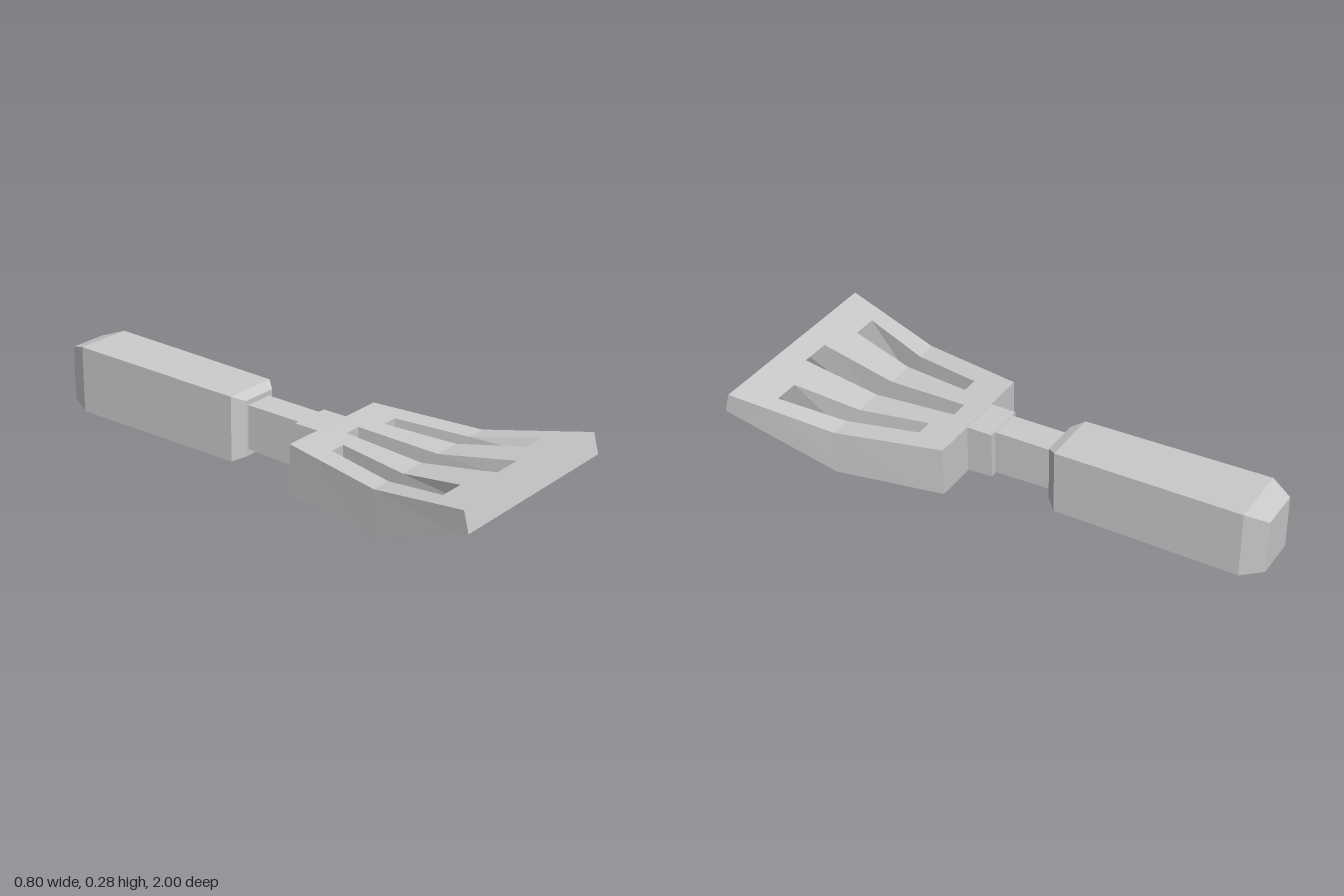
import * as THREE from 'three';

const material = new THREE.MeshStandardMaterial({ color: 0xcccccc, flatShading: true });
const lerp = THREE.MathUtils.lerp;

// Flat-shaded mesh from a list of four-cornered faces
function quadMesh(name, quads) {
  const points = quads.flatMap(([a, b, c, d]) => [a, b, c, a, c, d]).flat();
  const geometry = new THREE.BufferGeometry();
  geometry.setAttribute('position', new THREE.Float32BufferAttribute(points, 3));
  geometry.computeVertexNormals();
  const mesh = new THREE.Mesh(geometry, material);
  mesh.name = name;
  return mesh;
}

// Rectangular sections [z, x0, x1, y0, y1], joined from front to back
function loft(name, sections) {
  const rings = sections.map(([z, x0, x1, y0, y1]) =>
    [[x0, y0, z], [x1, y0, z], [x1, y1, z], [x0, y1, z]]);
  const quads = [rings[0], [...rings.at(-1)].reverse()];
  for (let i = 0; i < rings.length - 1; i++) {
    const a = rings[i], b = rings[i + 1];
    for (let k = 0; k < 4; k++) {
      const n = (k + 1) % 4;
      quads.push([a[k], b[k], b[n], a[n]]);
    }
  }
  return quadMesh(name, quads);
}

// Bent, flaring blade with three tapered slots
function createBlade() {
  // [top z, bottom z, middle slot edge, side slot inner edge, side slot outer edge]
  const rows = [
    [0.17, 0.17, 0.035, 0.12, 0.185],
    [0.255, 0.255, 0.035, 0.12, 0.185],
    [0.305, 0.305, 0.037, 0.12, 0.185],
    [0.58, 0.58, 0.048, 0.16, 0.24],
    [0.835, 0.96, 0.058, 0.2, 0.3],
    [0.885, 0.97, 0.059, 0.2, 0.3],
    [0.98, 1.0, 0.06, 0.2, 0.3],
  ];
  const height = (z, back, bend, tip, tipZ) => z <= 0.58
    ? lerp(back, bend, (z - 0.17) / 0.41)
    : lerp(bend, tip, (z - 0.58) / (tipZ - 0.58));
  const line = (z, y, tipZ, [c, si, so]) => {
    const o = lerp(0.243, 0.4, (z - 0.17) / (tipZ - 0.17));
    return [-o, -so, -si, -c, c, si, so, o].map((x) => [x, y, z]);
  };
  const top = rows.map(([z, , ...xs]) => line(z, height(z, 0.212, 0.186, 0.254, 0.98), 0.98, xs));
  const bottom = rows.map(([, z, ...xs]) => line(z, height(z, 0.02, 0.012, 0.177, 1), 1, xs));

  const solid = (i, k) => {
    if (i < 0 || i > 5 || k < 0 || k > 6) return false;
    if (k === 3) return i < 1 || i > 4;
    if (k === 1 || k === 5) return i < 2 || i > 3;
    return true;
  };
  const quads = [];
  for (let i = 0; i < 6; i++) {
    for (let k = 0; k < 7; k++) {
      if (!solid(i, k)) continue;
      const corners = [[i, k], [i + 1, k], [i + 1, k + 1], [i, k + 1]];
      const neighbours = [[i, k - 1], [i + 1, k], [i, k + 1], [i - 1, k]];
      const t = corners.map(([r, c]) => top[r][c]);
      const b = corners.map(([r, c]) => bottom[r][c]);
      quads.push(t, [...b].reverse());
      // Walls along the outline and inside the slots
      neighbours.forEach(([r, c], e) => {
        const n = (e + 1) % 4;
        if (!solid(r, c)) quads.push([t[e], b[e], b[n], t[n]]);
      });
    }
  }
  return quadMesh('blade', quads);
}

export function createModel() {
  const group = new THREE.Group();
  group.name = 'spatula';
  group.add(
    createBlade(),
    // Wider block where the neck meets the blade
    loft('collar', [
      [0.17, -0.085, 0.08, 0.022, 0.21],
      [0.07, -0.085, 0.08, 0.03, 0.212],
    ]),
    loft('neck', [
      [0.07, -0.063, 0.055, 0.034, 0.21],
      [-0.17, -0.063, 0.055, 0.046, 0.217],
    ]),
    // Grip with chamfered ends
    loft('handle', [
      [-0.16, -0.075, 0.073, 0.022, 0.236],
      [-0.2, -0.112, 0.108, 0.003, 0.254],
      [-0.92, -0.118, 0.115, 0.022, 0.281],
      [-1.0, -0.082, 0.078, 0.046, 0.255],
    ]),
  );
  return group;
}
